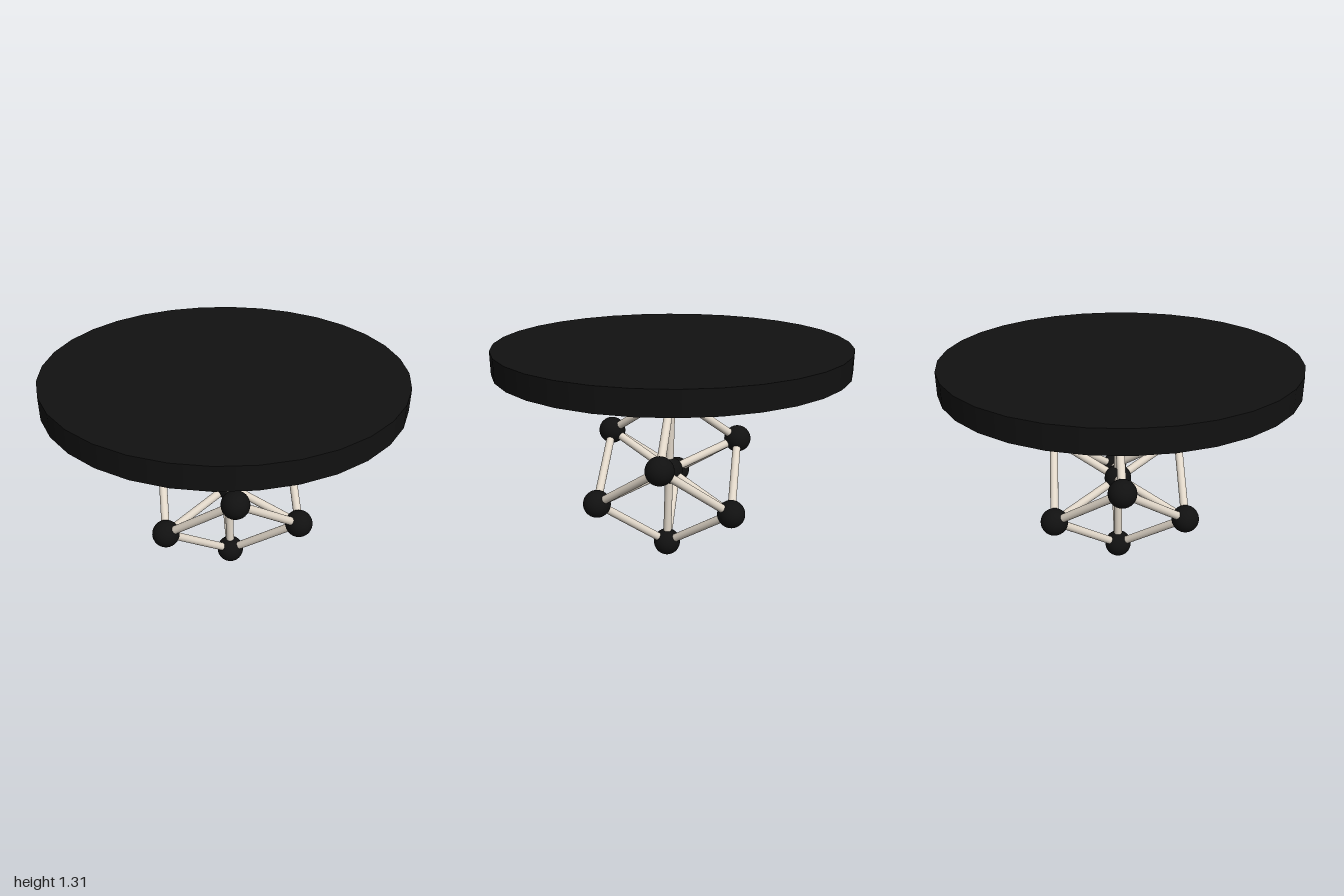
import * as THREE from 'three';

const black = new THREE.MeshStandardMaterial({ color: 0x111111 });
const cream = new THREE.MeshStandardMaterial({ color: 0xe0d6c8 });

function createTop() {
  const top = new THREE.Group();
  top.name = 'tableTop';

  const slab = new THREE.Mesh(new THREE.CylinderGeometry(1, 1, 0.13, 32), black);
  slab.name = 'topSlab';
  slab.position.y = 1.245;

  // Shallow tapered underside whose small lower disc sits slightly off centre
  const taper = new THREE.CylinderGeometry(1, 0.368, 0.074, 32);
  const p = taper.attributes.position;
  for (let i = 0; i < p.count; i++) {
    if (p.getY(i) < 0) p.setXYZ(i, p.getX(i) + 0.035, p.getY(i), p.getZ(i) + 0.005);
  }
  taper.computeVertexNormals();
  const underside = new THREE.Mesh(taper, black);
  underside.name = 'topUnderside';
  underside.position.y = 1.143;

  top.add(slab, underside);
  return top;
}

function createRod(a, b) {
  const dir = b.clone().sub(a);
  const rod = new THREE.Mesh(new THREE.CylinderGeometry(0.024, 0.024, dir.length(), 16), cream);
  rod.name = 'rod';
  rod.position.copy(a).lerp(b, 0.5);
  rod.quaternion.setFromUnitVectors(new THREE.Vector3(0, 1, 0), dir.normalize());
  return rod;
}

// Body-centred cube lattice balanced on one corner
function createLattice() {
  const lattice = new THREE.Group();
  lattice.name = 'latticeBase';

  const centre = new THREE.Vector3(0.025, 0.552, -0.013);
  const axes = [
    new THREE.Vector3(-0.44, -0.332, 0.002),
    new THREE.Vector3(0.232, -0.302, 0.382),
    new THREE.Vector3(0.238, -0.302, -0.382),
  ];

  // Corner i: each bit picks the side along one cube axis
  const corners = [];
  for (let i = 0; i < 8; i++) {
    const c = centre.clone();
    axes.forEach((axis, k) => c.addScaledVector(axis, i & (1 << k) ? 0.5 : -0.5));
    corners.push(c);
  }

  for (const point of [...corners, centre]) {
    const ball = new THREE.Mesh(new THREE.SphereGeometry(0.08, 32, 20), black);
    ball.name = 'ball';
    ball.position.copy(point);
    lattice.add(ball);
  }

  // Twelve cube edges and eight spokes to the centre
  corners.forEach((corner, i) => {
    for (let k = 0; k < 3; k++) {
      if (!(i & (1 << k))) lattice.add(createRod(corner, corners[i | (1 << k)]));
    }
    lattice.add(createRod(corner, centre));
  });
  return lattice;
}

export function createModel() {
  const model = new THREE.Group();
  model.name = 'table';
  model.add(createTop(), createLattice());
  return model;
}
